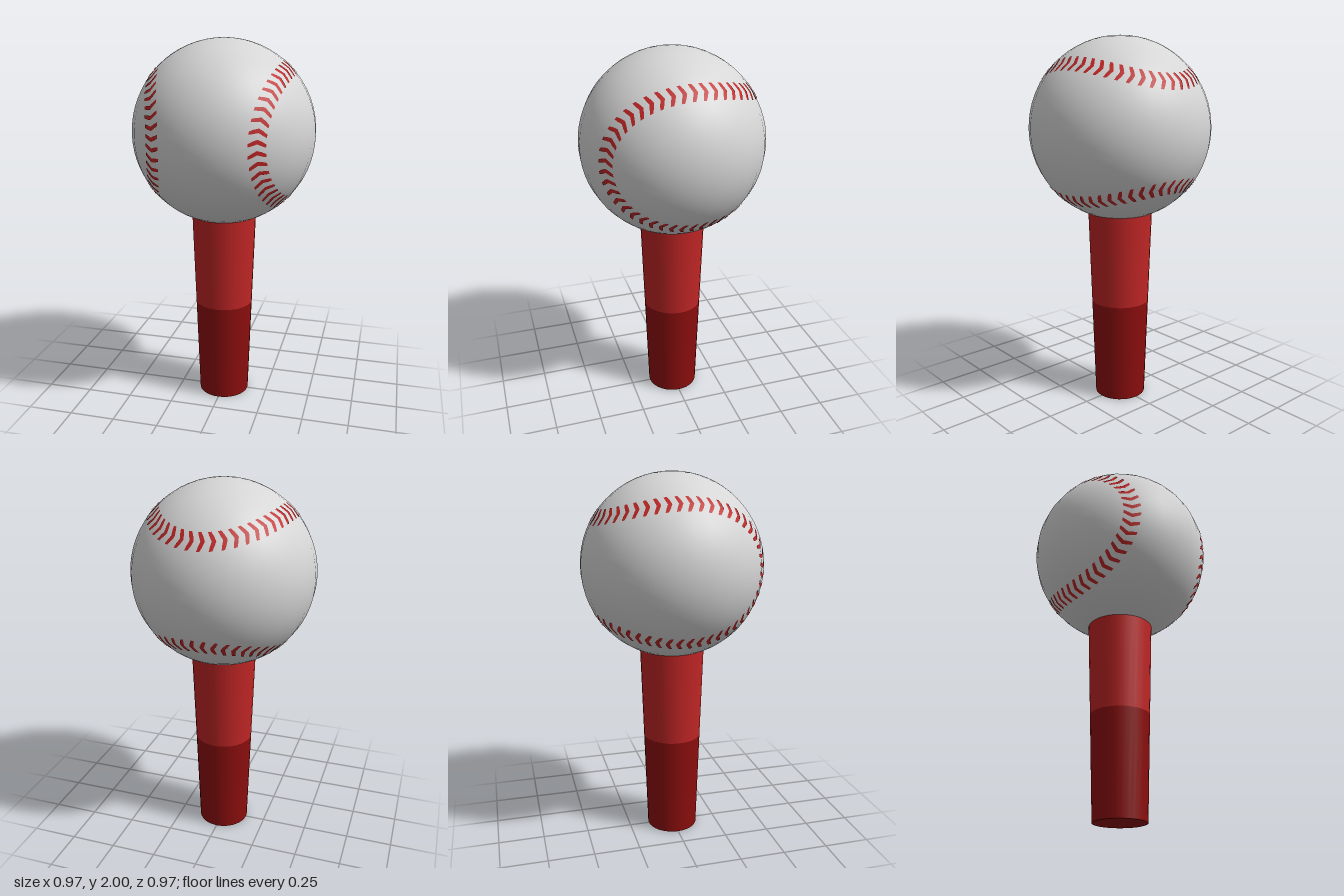
import * as THREE from 'three';
import { mergeGeometries } from 'three/addons/utils/BufferGeometryUtils.js';

const RADIUS = 0.485;
const CENTER_Y = 1.515;
const STITCHES = 92;

// Closed seam curve lying exactly on the ball: necks at the front (side by side)
// and at the back (one above the other).
class SeamCurve extends THREE.Curve {
  getPoint(u, target = new THREE.Vector3()) {
    const a = 0.3725, b = RADIUS - a, t = u * Math.PI * 2;
    const p = a * Math.cos(t) + b * Math.cos(3 * t);
    const q = a * Math.sin(t) - b * Math.sin(3 * t);
    const r = 2 * Math.sqrt(a * b) * Math.sin(2 * t);
    return target.set((p + q) * Math.SQRT1_2, (q - p) * Math.SQRT1_2, r);
  }
}

// One flat chevron stitch, bent onto the ball at a point of the seam
function stitchGeometry(point, tangent) {
  const normal = point.clone().normalize();
  const side = tangent.clone().cross(normal).normalize();
  const shape = new THREE.Shape([
    [-0.047, -0.02], [-0.024, -0.013], [0, -0.004], [0.024, -0.013], [0.047, -0.02],
    [0.047, -0.004], [0.024, 0.008], [0, 0.017], [-0.024, 0.008], [-0.047, -0.004],
  ].map(([x, y]) => new THREE.Vector2(x, y)));
  const geometry = new THREE.ShapeGeometry(shape);
  const pos = geometry.attributes.position;
  const v = new THREE.Vector3();
  for (let i = 0; i < pos.count; i++) {
    v.copy(point).addScaledVector(side, pos.getX(i)).addScaledVector(tangent, pos.getY(i)).normalize();
    geometry.attributes.normal.setXYZ(i, v.x, v.y, v.z);
    v.multiplyScalar(RADIUS + 0.002);
    pos.setXYZ(i, v.x, v.y, v.z);
  }
  return geometry;
}

export function createModel() {
  const material = (name, color) => {
    const m = new THREE.MeshStandardMaterial({ color });
    m.name = name;
    return m;
  };
  const leather = material('leather', 0xd6d6d6);
  const red = material('red', 0xc02525);
  const darkRed = material('darkRed', 0x8c0e0e);

  const model = new THREE.Group();
  const add = (name, geometry, mat, y) => {
    const mesh = new THREE.Mesh(geometry, mat);
    mesh.name = name;
    mesh.position.y = y;
    model.add(mesh);
  };

  // Tapered stand in two colours
  const section = (name, y0, y1, r0, r1, mat) =>
    add(name, new THREE.CylinderGeometry(r1, r0, y1 - y0, 32), mat, (y0 + y1) / 2);
  section('standBase', 0, 0.555, 0.14, 0.158, darkRed);
  section('standTop', 0.555, 1.07, 0.158, 0.175, red);

  // Ball
  add('ball', new THREE.SphereGeometry(RADIUS, 32, 32), leather, CENTER_Y);

  // Stitches evenly spaced along the seam
  const seam = new SeamCurve();
  const stitches = [];
  for (let i = 0; i < STITCHES; i++) {
    const u = i / STITCHES;
    stitches.push(stitchGeometry(seam.getPointAt(u), seam.getTangentAt(u)));
  }
  add('stitches', mergeGeometries(stitches), red, CENTER_Y);

  return model;
}
